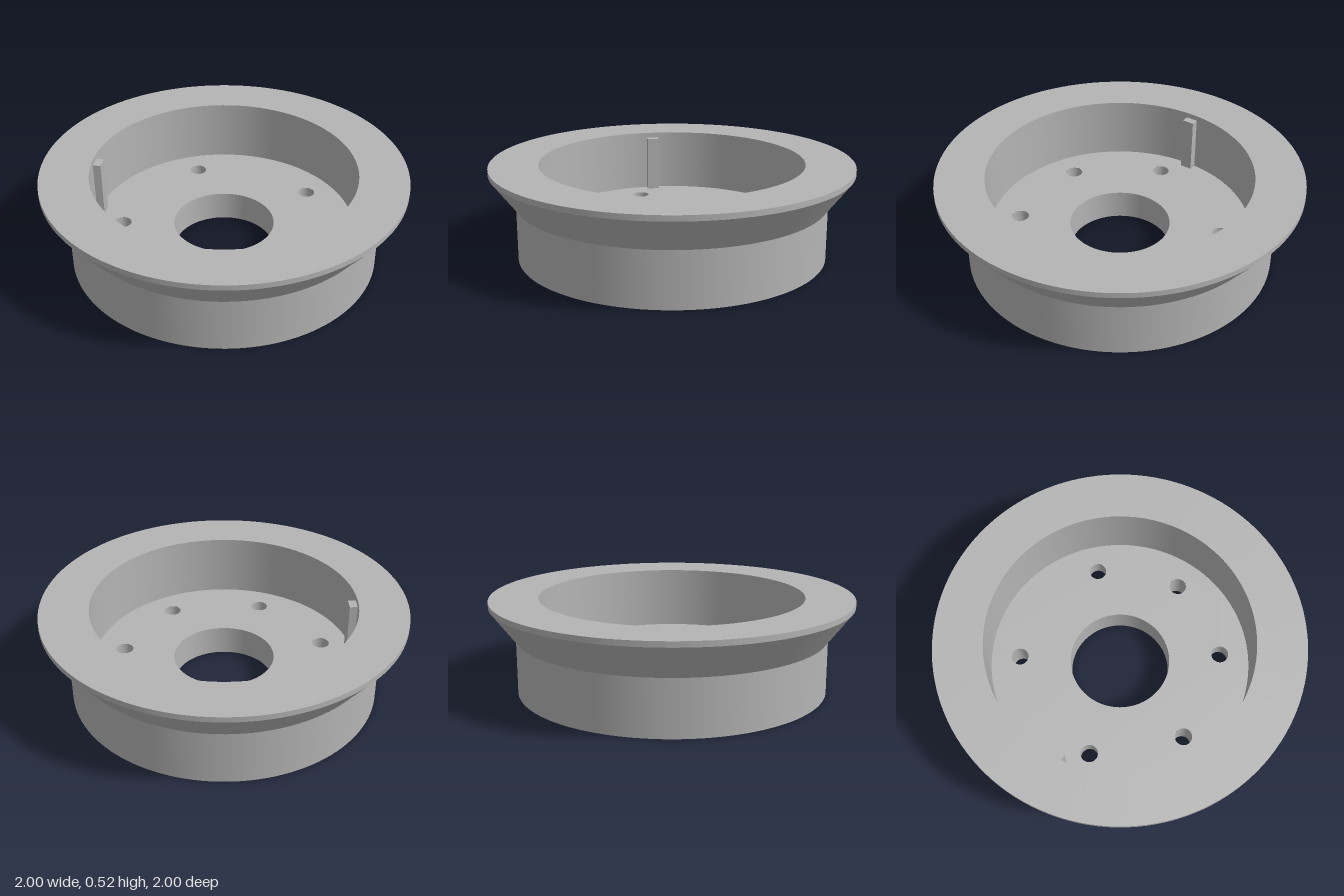
import * as THREE from 'three';

const FLOOR = 0.17, BORE = 0.28, HOLE = 0.048, COUNTERBORE = 0.088, SINK = 0.08, CIRCLE = 0.57;
const rad = THREE.MathUtils.degToRad;

export function createModel() {
  const model = new THREE.Group();
  const metal = new THREE.MeshStandardMaterial({ color: 0xb4b4b4 });
  metal.name = 'grey metal';

  const add = (name, geometry, x = 0, y = 0, z = 0) => {
    const mesh = new THREE.Mesh(geometry, metal);
    mesh.name = name;
    mesh.position.set(x, y, z);
    model.add(mesh);
    return mesh;
  };

  // One surface of revolution between two [radius, height] points;
  // rising outside, falling inside
  const turn = (name, a, b, x = 0, z = 0, sides = 128) =>
    add(name, new THREE.LatheGeometry([new THREE.Vector2(...a), new THREE.Vector2(...b)], sides), x, 0, z);

  // Six bolt holes, every second one counterbored from below
  const holes = [-144.8, -70.1, -20.5, 29.6, 85.1, 140.3].map((angle, i) => ({
    x: CIRCLE * Math.cos(rad(angle)),
    z: CIRCLE * Math.sin(rad(angle)),
    wide: i % 2 === 1,
  }));

  // Flat round face with the central bore and bolt holes cut out
  const face = (name, radius, y, up) => {
    const shape = new THREE.Shape().absarc(0, 0, radius, 0, Math.PI * 2);
    shape.holes.push(new THREE.Path().absarc(0, 0, BORE, 0, Math.PI * 2, true));
    for (const h of holes) {
      const r = h.wide && !up ? COUNTERBORE : HOLE;
      shape.holes.push(new THREE.Path().absarc(h.x, up ? -h.z : h.z, r, 0, Math.PI * 2, true));
    }
    const geometry = new THREE.ShapeGeometry(shape, 64);
    geometry.rotateX(up ? -Math.PI / 2 : Math.PI / 2);
    add(name, geometry, 0, y);
  };

  // Hub, flared flange and recess
  turn('hubWall', [0.86, 0], [0.86, 0.305]);
  turn('flangeCone', [0.86, 0.305], [1, 0.49]);
  turn('flangeEdge', [1, 0.49], [1, 0.52]);
  turn('flangeTop', [1, 0.52], [0.73, 0.52]);
  turn('recessWall', [0.73, 0.52], [0.73, FLOOR]);
  turn('centralBore', [BORE, FLOOR], [BORE, 0]);
  face('recessFloor', 0.73, FLOOR, true);
  face('underside', 0.86, 0, false);

  // Bolt hole walls and counterbores
  for (const { x, z, wide } of holes) {
    turn('boltHole', [HOLE, FLOOR], [HOLE, wide ? SINK : 0], x, z, 48);
    if (wide) {
      turn('counterboreSeat', [HOLE, SINK], [COUNTERBORE, SINK], x, z, 48);
      turn('counterboreWall', [COUNTERBORE, SINK], [COUNTERBORE, 0], x, z, 48);
    }
  }

  // Locating key on the recess wall
  const angle = rad(150.4), height = 0.49 - FLOOR;
  const key = add('locatingKey', new THREE.BoxGeometry(0.055, height, 0.07),
    0.713 * Math.cos(angle), FLOOR + height / 2, 0.713 * Math.sin(angle));
  key.rotation.y = -angle;

  return model;
}
